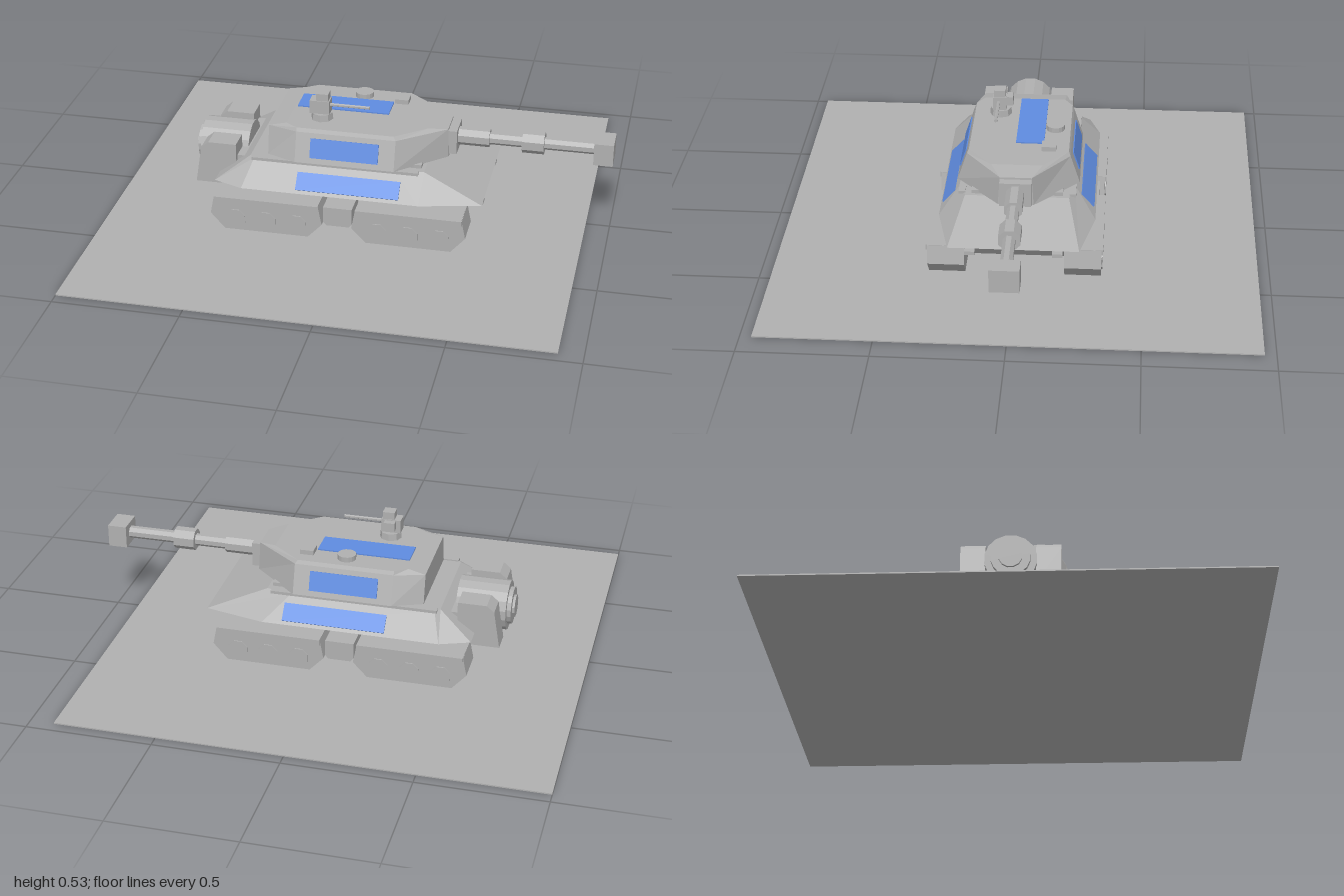
import * as THREE from 'three';

const grey = new THREE.MeshStandardMaterial({ color: 0xb0b0b0, flatShading: true });
grey.name = 'armour grey';
const blue = new THREE.MeshStandardMaterial({ color: 0x5f8ce0, flatShading: true });
blue.name = 'marking blue';

export function createModel() {
  const root = new THREE.Group();
  root.name = 'tank';

  function add(name, geo, x = 0, y = 0, z = 0, mat = grey, parent = root) {
    const m = new THREE.Mesh(geo, mat);
    m.name = name;
    m.position.set(x, y, z);
    parent.add(m);
    return m;
  }
  // box given by its extents on each axis
  const box = (name, x0, x1, y0, y1, z0, z1, mat, parent) =>
    add(name, new THREE.BoxGeometry(x1 - x0, y1 - y0, z1 - z0),
      (x0 + x1) / 2, (y0 + y1) / 2, (z0 + z1) / 2, mat, parent);
  // cylinder lying along x
  const rod = (name, x0, x1, y, z, r, n = 8) =>
    add(name, new THREE.CylinderGeometry(r, r, x1 - x0, n, 1, false, Math.PI / n).rotateZ(Math.PI / 2),
      (x0 + x1) / 2, y, z);
  // side profile in x, y extruded between two z values
  function slab(name, pts, z0, z1, parent) {
    const s = new THREE.Shape(pts.map(p => new THREE.Vector2(p[0], p[1])));
    return add(name, new THREE.ExtrudeGeometry(s, { depth: z1 - z0, bevelEnabled: false }), 0, 0, z0, grey, parent);
  }
  // stacked plan outlines; each half outline runs rear to front and is mirrored in z
  function loft(name, levels) {
    const rings = levels.map(({ y, half }) => {
      const a = half.map(([x, z]) => [x, y, z]);
      return a.concat(half.map(([x, z]) => [x, y, -z]).reverse());
    });
    const out = [], n = rings[0].length;
    for (let k = 0; k + 1 < rings.length; k++) {
      const a = rings[k], b = rings[k + 1];
      for (let i = 0; i < n; i++) {
        const j = (i + 1) % n;
        out.push(...a[i], ...a[j], ...b[j], ...a[i], ...b[j], ...b[i]);
      }
    }
    const lo = rings[0], hi = rings[rings.length - 1];
    for (let i = 1; i + 1 < n; i++) {
      out.push(...hi[0], ...hi[i], ...hi[i + 1], ...lo[0], ...lo[i + 1], ...lo[i]);
    }
    const g = new THREE.BufferGeometry();
    g.setAttribute('position', new THREE.Float32BufferAttribute(out, 3));
    g.computeVertexNormals();
    return add(name, g);
  }
  // thin plate lying on a sloping side
  function sidePlate(name, x0, x1, y0, z0, y1, z1, s) {
    const g = new THREE.BoxGeometry(x1 - x0, Math.hypot(y1 - y0, z1 - z0), 0.008);
    const m = add(name, g, (x0 + x1) / 2, (y0 + y1) / 2, s * (z0 + z1) / 2, blue);
    m.rotation.x = s * Math.atan2(z1 - z0, y1 - y0);
  }

  // ground slab
  box('ground', -1, 0.905, 0, 0.005, -0.955, 0.955);

  // hull: belly and faceted upper body
  slab('belly', [[-0.46, 0.06], [0.36, 0.06], [0.44, 0.16], [-0.53, 0.16]], -0.2, 0.2);
  loft('hull', [
    { y: 0.155, half: [[-0.54, 0.2], [-0.44, 0.25], [0.27, 0.25], [0.47, 0.2], [0.47, 0.17]] },
    { y: 0.178, half: [[-0.565, 0.265], [-0.445, 0.31], [0.27, 0.31], [0.515, 0.255], [0.515, 0.18]] },
    { y: 0.275, half: [[-0.43, 0.205], [-0.41, 0.225], [0.17, 0.225], [0.275, 0.205], [0.275, 0.205]] },
  ]);
  box('turretRing', -0.3, 0.26, 0.27, 0.29, -0.18, 0.18);

  // turret
  loft('turret', [
    { y: 0.283, half: [[-0.36, 0.195], [-0.24, 0.243], [0.16, 0.243], [0.35, 0.07]] },
    { y: 0.4, half: [[-0.36, 0.17], [-0.24, 0.205], [0.16, 0.205], [0.345, 0.062]] },
    { y: 0.415, half: [[-0.29, 0.165], [-0.24, 0.198], [0.15, 0.198], [0.27, 0.1]] },
  ]);

  // gun, from mantlet to muzzle
  box('mantlet', 0.3, 0.38, 0.292, 0.392, -0.062, 0.062);
  rod('barrelSleeve', 0.37, 0.505, 0.347, 0, 0.037);
  rod('barrel', 0.5, 0.93, 0.347, 0, 0.025);
  rod('barrelCollar', 0.637, 0.724, 0.347, 0, 0.045);
  box('muzzle', 0.923, 1, 0.3, 0.392, -0.056, 0.056);

  // roof fittings
  add('hatch', new THREE.CylinderGeometry(0.037, 0.037, 0.022, 16), -0.035, 0.425, -0.137);
  box('periscope', 0.1, 0.155, 0.41, 0.434, -0.147, -0.09);
  add('machineGunBase', new THREE.CylinderGeometry(0.042, 0.045, 0.03, 8), -0.16, 0.428, 0.092);
  box('machineGunBody', -0.205, -0.125, 0.445, 0.5, 0.068, 0.122);
  box('machineGunSight', -0.178, -0.13, 0.5, 0.53, 0.072, 0.118);
  box('ammunitionBox', -0.185, -0.14, 0.46, 0.497, 0.042, 0.07);
  rod('machineGunBarrel', -0.125, 0.035, 0.48, 0.1, 0.007, 6);

  // rear engine: drum, rim discs and side housings
  rod('engineDrum', -0.67, -0.47, 0.218, 0, 0.1, 16);
  rod('engineRim', -0.687, -0.66, 0.218, 0, 0.075, 16);
  rod('engineHub', -0.697, -0.68, 0.218, 0, 0.045, 12);
  box('engineMount', -0.56, -0.4, 0.15, 0.25, -0.17, 0.17);

  const trackProfile = [[-0.565, 0.07], [-0.505, 0.002], [-0.17, 0.002], [-0.11, 0.065], [-0.125, 0.145], [-0.55, 0.145]];
  const midX = -0.05;

  for (const s of [1, -1]) {
    const zs = (a, b) => (s > 0 ? [a, b] : [-b, -a]);
    slab('engineHousing', [[-0.665, 0.125], [-0.495, 0.125], [-0.495, 0.305], [-0.61, 0.305], [-0.64, 0.28]], ...zs(0.095, 0.19));

    // track units, front and rear
    for (const f of [1, -1]) {
      let pts = trackProfile;
      if (f < 0) pts = pts.map(([x, y]) => [2 * midX - x, y]).reverse();
      const unit = new THREE.Group();
      unit.name = f > 0 ? 'rearTrack' : 'frontTrack';
      root.add(unit);
      slab('track', pts, ...zs(0.195, 0.339), unit);
      const cx = f > 0 ? -0.337 : 0.237;
      for (let i = -1; i <= 1; i++) {
        add('wheel', new THREE.CylinderGeometry(0.042, 0.042, 0.01, 8, 1, false, Math.PI / 8).rotateX(Math.PI / 2),
          cx + i * 0.125, 0.056, s * 0.339, grey, unit);
      }
      box('fender', cx - 0.212, cx + 0.212, 0.125, 0.147, ...zs(0.25, 0.345), grey, unit);
    }
    slab('trackLink', [[-0.095, 0.055], [-0.005, 0.055], [0.008, 0.07], [0.008, 0.135], [-0.108, 0.135], [-0.108, 0.07]], ...zs(0.19, 0.32));

    box('deckRail', -0.42, 0.255, 0.268, 0.28, ...zs(0.205, 0.232));
    box('towHook', 0.44, 0.51, 0.145, 0.16, ...zs(0.15, 0.19));

    // painted side markings
    sidePlate('hullMarking', -0.225, 0.19, 0.19, 0.301, 0.245, 0.252, s);
    sidePlate('turretMarking', -0.18, 0.095, 0.305, 0.237, 0.38, 0.212, s);
  }

  // painted roof marking
  box('roofMarking', -0.28, 0.095, 0.412, 0.42, -0.097, 0.015, blue);

  return root;
}
